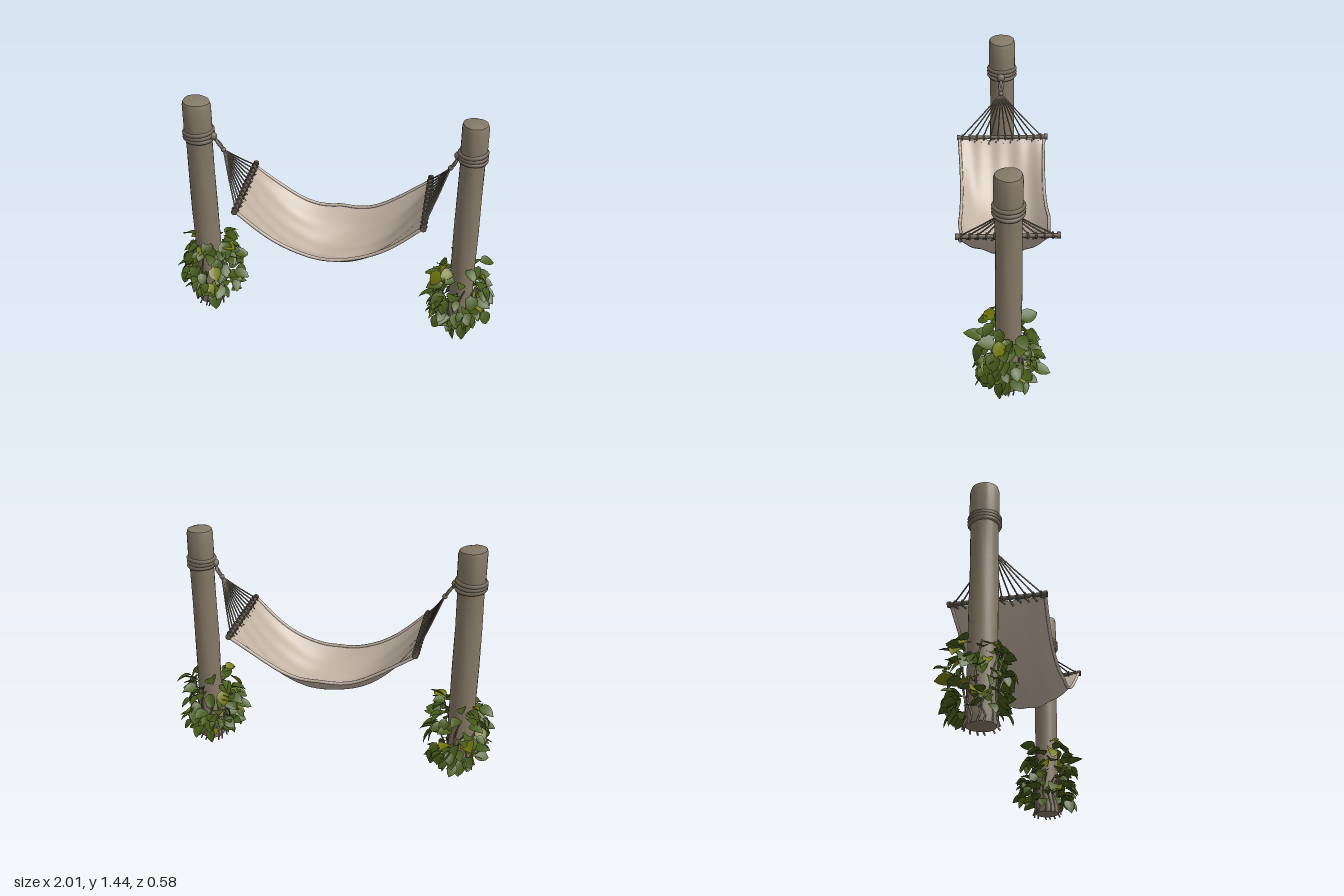
import * as THREE from 'three';
import { mergeGeometries, toCreasedNormals } from 'three/addons/utils/BufferGeometryUtils.js';

const mat = (name, color, side = THREE.FrontSide) => {
  const m = new THREE.MeshStandardMaterial({ color, side });
  m.name = name;
  return m;
};
const V = (x, y, z) => new THREE.Vector3(x, y, z);

function seeded(seed) {
  return () => {
    seed = (seed * 16807) % 2147483647;
    return seed / 2147483647;
  };
}

function tube(points, radius, segments = 10, sides = 6) {
  return new THREE.TubeGeometry(new THREE.CatmullRomCurve3(points), segments, radius, sides);
}

function add(group, name, geometry, material) {
  const mesh = new THREE.Mesh(geometry, material);
  mesh.name = name;
  group.add(mesh);
  return mesh;
}

// Rough log with a softened top and slightly uneven surface
function postGeometry(r, top, phase) {
  const profile = [[0, 0.02], [r * 1.0, 0.02], [r * 1.03, 0.06], [r, 0.2], [r * 0.98, 0.45], [r, 0.7],
    [r * 0.97, 0.95], [r * 0.96, 1.17], [r * 1.03, 1.26], [r * 1.03, top - 0.03], [r * 0.95, top - 0.008],
    [r * 0.6, top], [0, top]].map(([x, y]) => new THREE.Vector2(x, y));
  const geo = new THREE.LatheGeometry(profile, 24);
  const p = geo.attributes.position;
  for (let i = 0; i < p.count; i++) {
    const a = Math.atan2(p.getZ(i), p.getX(i)), y = p.getY(i);
    const k = 1 + 0.025 * Math.sin(3 * a + y * 5 + phase) + 0.015 * Math.sin(7 * a - y * 8);
    p.setX(i, p.getX(i) * k);
    p.setZ(i, p.getZ(i) * k);
    if (y > top - 0.05) p.setY(i, y - 0.08 * p.getX(i) * Math.sin(phase + 1));
  }
  return toCreasedNormals(geo, 0.8);
}

// Pointed oval leaf along +z, folded at the midrib and drooping at the tip
function leafGeometry(length, width) {
  const geo = new THREE.PlaneGeometry(1, 1, 2, 5);
  const p = geo.attributes.position;
  for (let i = 0; i < p.count; i++) {
    const t = 0.5 - p.getY(i);
    const x = p.getX(i) * width * Math.pow(Math.sin(Math.PI * Math.pow(Math.min(t, 1), 0.8)) + 1e-6, 0.7);
    p.setXYZ(i, x, Math.abs(x) * 0.35 - t * t * length * 0.25, t * length);
  }
  geo.computeVertexNormals();
  return geo;
}

// Height of the hammock bed at any point
const HALF = 0.54, WIDE = 0.27;
function bedY(x, z) {
  const u = Math.min(1, Math.abs(x) / HALF), s = z / WIDE;
  const edge = (s > 0 ? 0.125 : 0.16) * Math.pow(Math.abs(s), 2.2);
  const fold = 0.006 * Math.sin(s * 14 + 1) * (0.3 + u) + 0.003 * Math.sin(x * 17 + s * 5);
  return 0.478 + 0.395 * Math.pow(u, 2.25) + edge * (1 - u * u * u) + fold;
}
const bedZ = (x, s) => s * (WIDE - 0.012 * Math.sin(Math.PI * Math.abs(x) / HALF));

export function createModel() {
  const model = new THREE.Group();
  const wood = mat('weathered wood', 0x857966);
  const rope = mat('rope', 0x756b5b);
  const barWood = mat('dark bar wood', 0x62594b);
  const cloth = mat('canvas', 0xc2b3a3, THREE.DoubleSide);
  const green = mat('leaf green', 0x465c1a, THREE.DoubleSide);
  const olive = mat('leaf olive', 0x757a0c, THREE.DoubleSide);

  // Canvas bed
  const bed = new THREE.PlaneGeometry(2, 2, 48, 32);
  bed.rotateX(-Math.PI / 2);
  const p = bed.attributes.position;
  for (let i = 0; i < p.count; i++) {
    const x = p.getX(i) * HALF, z = bedZ(x, p.getZ(i));
    p.setXYZ(i, x, bedY(x, z), z);
  }
  bed.computeVertexNormals();
  add(model, 'hammockBed', bed, cloth);

  // Rolled side hems
  for (const s of [-1, 1]) {
    const pts = [];
    for (let i = 0; i <= 20; i++) {
      const x = HALF * (i / 10 - 1), z = bedZ(x, s);
      pts.push(V(x, bedY(x, z), z));
    }
    add(model, 'sideHem', tube(pts, 0.01, 40, 6), cloth);
  }

  for (const side of [-1, 1]) {
    const left = side > 0;
    const half = new THREE.Group();
    half.name = left ? 'leftSupport' : 'rightSupport';
    model.add(half);
    const px = left ? 0.785 : -0.81, pz = left ? 0 : -0.01;
    const r = left ? 0.074 : 0.08, top = left ? 1.43 : 1.44;
    const rand = seeded(left ? 4711 : 977);

    add(half, 'post', postGeometry(r, top, left ? 2 : 0.5), wood).position.set(px, 0, pz);

    // Rope wraps and knot on the post
    const wraps = [1.2, 1.222, 1.243].map((y, i) => {
      const t = new THREE.TorusGeometry(r + 0.002, 0.013, 6, 28);
      t.rotateX(Math.PI / 2);
      t.rotateZ((i - 1) * 0.05);
      return t.translate(px, y, pz);
    });
    const inner = px - side * (r + 0.006);
    wraps.push(new THREE.SphereGeometry(0.026, 10, 8).translate(inner, 1.215, 0));
    add(half, 'postRopeWrap', mergeGeometries(wraps), rope);

    // Twin main ropes down to the fan apex
    const apex = V(side * 0.665, 1.13, 0);
    const mains = [-1, 1].map((s) => tube([V(inner, 1.215, s * 0.012), V(side * 0.69, 1.17, -s * 0.008), apex.clone()], 0.009, 10));
    mains.push(new THREE.SphereGeometry(0.016, 8, 6).translate(apex.x, apex.y, 0));
    add(half, 'mainRope', mergeGeometries(mains), rope);

    // Fan of cords, each looped round the spreader bar
    const barX = side * 0.545, barY = 0.882, cords = [];
    for (let i = 0; i < 12; i++) {
      const z = -0.25 + i * 0.5 / 11;
      cords.push(tube([apex.clone(), V(side * 0.603, 1.0, z * 0.53), V(barX, barY + 0.01, z)], 0.0045, 8, 5));
      cords.push(new THREE.TorusGeometry(0.017, 0.005, 5, 12).translate(barX, barY, z));
      const y = bedY(side * 0.525, z);
      cords.push(tube([V(barX, barY - 0.012, z), V(side * 0.536, (barY + y) / 2 - 0.008, z + 0.01), V(side * 0.525, y, z + 0.016)], 0.005, 4, 5));
    }
    add(half, 'fanCords', mergeGeometries(cords), rope);

    // Spreader bar with end knobs
    const bar = [new THREE.CylinderGeometry(0.012, 0.012, 0.57, 10).rotateX(Math.PI / 2)];
    for (const s of [-1, 1]) bar.push(new THREE.CylinderGeometry(0.018, 0.018, 0.02, 10).rotateX(Math.PI / 2).translate(0, 0, s * 0.278));
    add(half, 'spreaderBar', mergeGeometries(bar), barWood).position.set(barX, barY, -0.005);

    // Stems climbing the foot of the post, with short roots
    const stems = [];
    for (let i = 0; i < 14; i++) {
      const a = i / 14 * Math.PI * 2 + rand() * 0.3, h = 0.15 + rand() * 0.3;
      const at = (da, d, y) => V(px + Math.sin(a + da) * (r + d), y, pz + Math.cos(a + da) * (r + d));
      stems.push(tube([at(0, 0.018, 0.008), at(0.15, 0.004, 0.05), at(-0.15, 0.012, h * 0.6), at(0.2, 0.04, h)], 0.005, 8, 5));
    }
    add(half, 'plantStems', mergeGeometries(stems), wood);

    // Leaf cluster
    const leaves = [[], []];
    const holder = new THREE.Object3D();
    holder.rotation.order = 'YXZ';
    const cx = px + (left ? -0.01 : 0.02), cz = pz + (left ? 0.01 : -0.03);
    for (let i = 0; i < 125; i++) {
      const a = i * 2.39996 + rand() * 0.4;
      const y = 0.09 + 0.4 * Math.pow(rand(), 1.15);
      const reach = 0.125 + 0.08 * Math.sin(Math.PI * Math.min(1, y / 0.52));
      const pitch = -0.5 + rand() * 1.6, len = 0.065 + rand() * 0.045;
      const base = Math.max(r + 0.005, reach * (0.75 + rand() * 0.3) - len * Math.cos(pitch) * 0.7);
      holder.position.set(cx + Math.sin(a) * base, y, cz + Math.cos(a) * base);
      holder.rotation.set(pitch, a + (rand() - 0.5) * 1.4, (rand() - 0.5) * 1.2);
      holder.updateMatrix();
      leaves[rand() < 0.13 ? 1 : 0].push(leafGeometry(len, len * (0.7 + rand() * 0.2)).applyMatrix4(holder.matrix));
    }
    // Stray leaves reaching out past the cluster
    for (const [dx, y, dz] of [[-side * 0.16, 0.25, 0.02], [-side * 0.14, 0.34, -0.05], [side * 0.11, 0.3, 0.02], [side * 0.1, 0.46, -0.05], [0.02, 0.15, -0.14]]) {
      holder.position.set(px + dx, y, pz + dz);
      holder.rotation.set(0.1, Math.atan2(dx, dz), 0.3);
      holder.updateMatrix();
      leaves[0].push(leafGeometry(0.1, 0.075).applyMatrix4(holder.matrix));
    }
    add(half, 'greenLeaves', mergeGeometries(leaves[0]), green);
    add(half, 'oliveLeaves', mergeGeometries(leaves[1]), olive);
  }
  return model;
}
